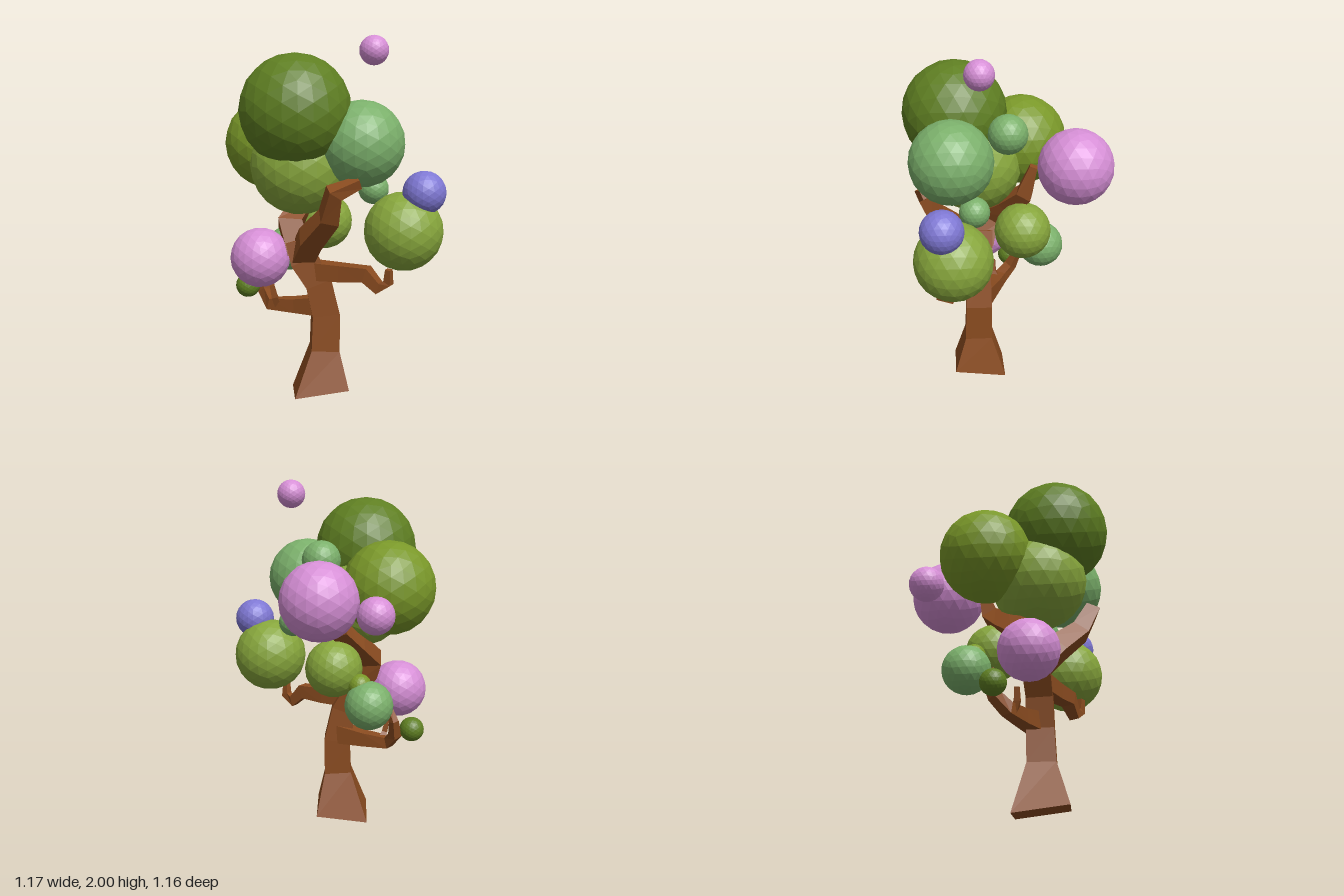
import * as THREE from 'three';

const mat = (color) => new THREE.MeshStandardMaterial({ color, flatShading: true });

// Square-section limb lofted along a path of [x, y, z, halfWidth]
function limb(path, startDir) {
  const P = path.map((p) => new THREE.Vector3(p[0], p[1], p[2]));
  const n = P.length;
  const pos = [];
  const idx = [];
  let u = new THREE.Vector3(1, 0, 0);
  let prev = null;
  for (let i = 0; i < n; i++) {
    const a = P[Math.max(i - 1, 0)];
    const b = P[Math.min(i + 1, n - 1)];
    const t = i === 0 && startDir ? startDir.clone().normalize() : b.clone().sub(a).normalize();
    if (prev) u.applyQuaternion(new THREE.Quaternion().setFromUnitVectors(prev, t));
    else if (Math.abs(t.x) > 0.8) u.set(0, 1, 0);
    u.addScaledVector(t, -u.dot(t)).normalize();
    const v = t.clone().cross(u);
    const h = path[i][3];
    for (const [s, q] of [[-1, -1], [1, -1], [1, 1], [-1, 1]]) {
      const c = P[i].clone().addScaledVector(u, s * h).addScaledVector(v, q * h);
      pos.push(c.x, c.y, c.z);
    }
    prev = t;
  }
  for (let i = 0; i < n - 1; i++) {
    for (let k = 0; k < 4; k++) {
      const a = i * 4 + k;
      const b = i * 4 + ((k + 1) % 4);
      idx.push(a, b, b + 4, a, b + 4, a + 4);
    }
  }
  const e = (n - 1) * 4;
  idx.push(0, 2, 1, 0, 3, 2, e, e + 1, e + 2, e, e + 2, e + 3);
  const indexed = new THREE.BufferGeometry();
  indexed.setAttribute('position', new THREE.Float32BufferAttribute(pos, 3));
  indexed.setIndex(idx);
  const g = indexed.toNonIndexed();
  g.computeVertexNormals();
  return g;
}

export function createModel() {
  const tree = new THREE.Group();
  tree.name = 'tree';
  const bark = mat(0x8b4c20);

  const addLimb = (name, path, startDir) => {
    const m = new THREE.Mesh(limb(path, startDir), bark);
    m.name = name;
    tree.add(m);
  };

  // Trunk with a flared, slightly tilted foot
  addLimb('trunk', [
    [-0.07, 0.036, 0.17, 0.15], [-0.045, 0.28, 0.175, 0.078], [-0.04, 0.48, 0.17, 0.075],
    [-0.08, 0.66, 0.17, 0.072], [-0.16, 0.79, 0.16, 0.075], [-0.19, 0.9, 0.15, 0.07],
  ], new THREE.Vector3(-0.12, 1, -0.12));

  // Main boughs
  addLimb('frontBough', [
    [-0.17, 0.8, 0.17, 0.06], [-0.13, 0.92, 0.27, 0.06], [-0.04, 1.06, 0.4, 0.05],
    [-0.02, 1.2, 0.47, 0.04], [0.11, 1.25, 0.45, 0.026],
  ]);
  addLimb('backBough', [
    [-0.18, 0.82, 0.15, 0.07], [-0.23, 0.98, 0.1, 0.065], [-0.15, 1.07, -0.01, 0.055],
    [-0.06, 1.17, -0.1, 0.045], [-0.04, 1.34, -0.15, 0.022],
  ]);

  // Side branches
  addLimb('leftBranch', [
    [-0.11, 0.73, 0.18, 0.05], [0.04, 0.73, 0.25, 0.045], [0.17, 0.735, 0.32, 0.04],
    [0.235, 0.665, 0.35, 0.03], [0.28, 0.7, 0.38, 0.022], [0.28, 0.775, 0.39, 0.015],
  ]);
  addLimb('rightBranch', [
    [-0.05, 0.52, 0.15, 0.055], [-0.2, 0.505, 0.08, 0.04], [-0.34, 0.5, 0.02, 0.032],
    [-0.375, 0.56, -0.04, 0.028], [-0.365, 0.65, -0.08, 0.02], [-0.34, 0.72, -0.05, 0.013],
  ]);
  addLimb('twig', [
    [-0.3, 0.5, 0.05, 0.02], [-0.32, 0.55, 0.07, 0.016], [-0.335, 0.62, 0.07, 0.012],
  ]);

  // Leaf and blossom balls: [x, y, z, radius], grouped by colour
  const balls = [
    ['darkFoliage', 0x5f7f22, [[-0.205, 1.61, 0.285, 0.295], [-0.47, 0.595, -0.037, 0.07]]],
    ['oliveFoliage', 0x7a9829, [[-0.325, 1.41, -0.1, 0.26], [-0.17, 0.88, -0.18, 0.065]]],
    ['limeFoliage', 0x87a63c, [
      [-0.175, 1.315, 0.18, 0.27], [0.37, 0.965, 0.308, 0.214], [-0.025, 0.957, -0.088, 0.162],
    ]],
    ['greenFoliage', 0x7bb06b, [
      [0.14, 1.435, 0.308, 0.23], [0.047, 1.555, 0, 0.11],
      [0.222, 1.18, 0.19, 0.084], [-0.22, 0.775, -0.212, 0.135],
    ]],
    ['pinkBlossom', 0xd68fd6, [
      [0.045, 1.363, -0.373, 0.212], [-0.247, 1.3, -0.447, 0.1],
      [-0.397, 0.797, 0.137, 0.165], [0.224, 1.92, 0.155, 0.08],
    ]],
    ['blueBlossom', 0x7f78d4, [[0.468, 1.18, 0.362, 0.116]]],
  ];
  const ballGeo = new THREE.IcosahedronGeometry(1, 3);
  for (const [name, color, list] of balls) {
    const m = mat(color);
    list.forEach(([x, y, z, r], i) => {
      const ball = new THREE.Mesh(ballGeo, m);
      ball.name = name + (i + 1);
      ball.position.set(x, y, z);
      ball.scale.setScalar(r);
      tree.add(ball);
    });
  }
  return tree;
}
